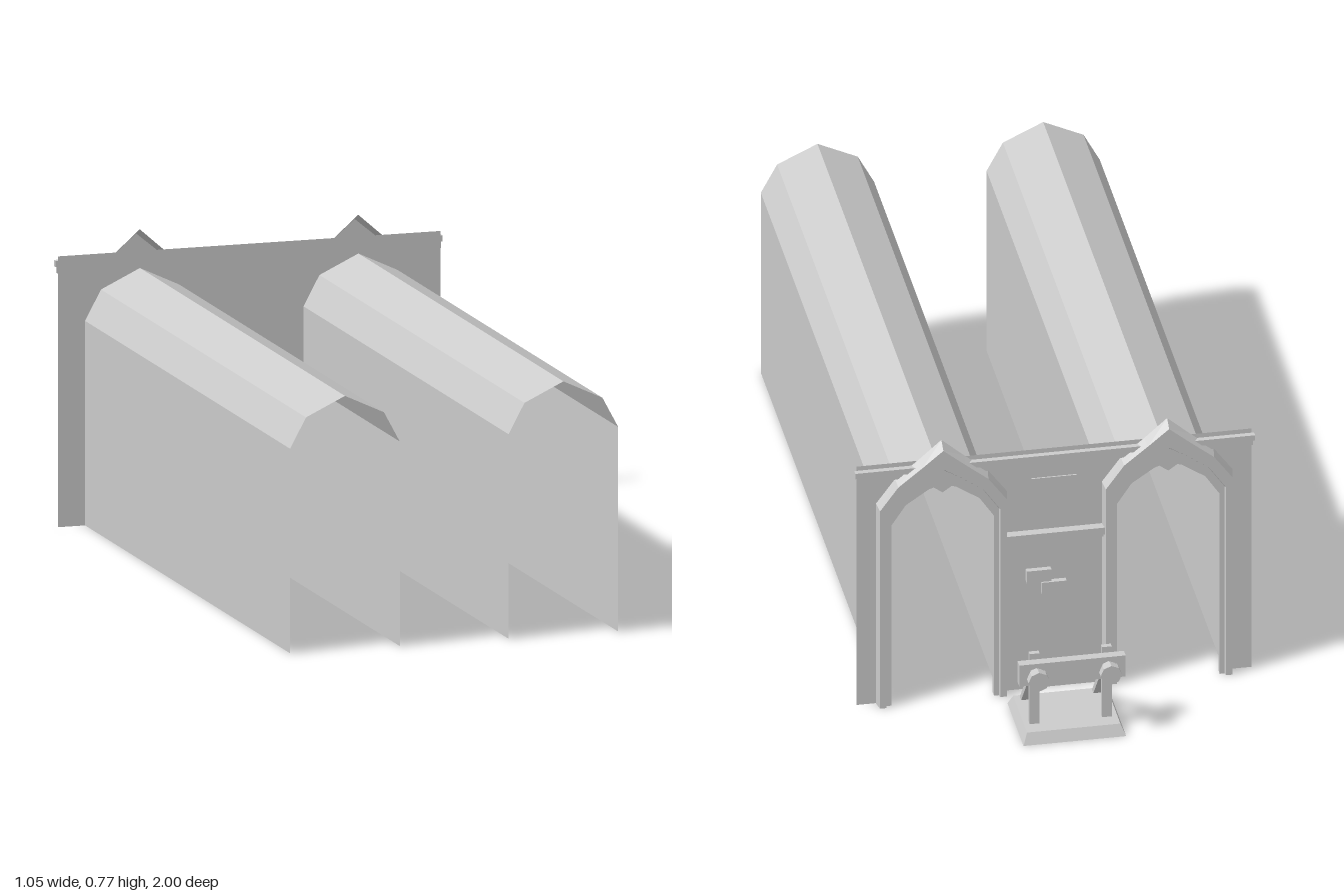
import * as THREE from 'three';

const mat = new THREE.MeshStandardMaterial({ color: 0xcccccc, flatShading: true, side: THREE.DoubleSide });
const WALL_Z = -0.708;
const CENTRES = [-0.297, 0.297];

// Half profiles, from the foot up to the crown
const tunnelHalf = [[0.149, 0], [0.149, 0.54], [0.106, 0.62], [0, 0.67]];
const ringOuter = [[0.172, 0], [0.172, 0.6], [0.122, 0.668], [0.06, 0.719], [0, 0.772]];
const ringInner = [[0.135, 0], [0.135, 0.54], [0.097, 0.597], [0.036, 0.638], [0, 0.65]];

const mirror = (half) => [...half, ...half.slice(0, -1).reverse().map(([x, y]) => [-x, y])];
const blend = (a, b, t) => a.map(([x, y], i) => [x + (b[i][0] - x) * t, y + (b[i][1] - y) * t]);

function add(parent, name, geometry, x = 0, y = 0, z = 0) {
  const mesh = new THREE.Mesh(geometry, mat);
  mesh.name = name;
  mesh.position.set(x, y, z);
  parent.add(mesh);
  return mesh;
}

// Box given by its limits
function block(parent, name, x0, x1, y0, y1, z0, z1) {
  return add(parent, name, new THREE.BoxGeometry(x1 - x0, y1 - y0, z1 - z0),
    (x0 + x1) / 2, (y0 + y1) / 2, (z0 + z1) / 2);
}

// Skin over a row of open cross-sections, each { half, z }
function loft(sections) {
  const pos = [], index = [];
  const n = sections[0].half.length * 2 - 1;
  sections.forEach(({ half, z }) => mirror(half).forEach(([x, y]) => pos.push(x, y, z)));
  for (let s = 0; s < sections.length - 1; s++) {
    for (let i = 0; i < n - 1; i++) {
      const a = s * n + i, b = a + n;
      index.push(a, a + 1, b, a + 1, b + 1, b);
    }
  }
  const g = new THREE.BufferGeometry();
  g.setAttribute('position', new THREE.Float32BufferAttribute(pos, 3));
  g.setIndex(index);
  const flat = g.toNonIndexed();
  flat.computeVertexNormals();
  return flat;
}

// Square bar between two points
function bar(parent, name, from, to, width) {
  const a = new THREE.Vector3(...from), b = new THREE.Vector3(...to);
  const mesh = add(parent, name, new THREE.BoxGeometry(width, width * 0.6, a.distanceTo(b)));
  mesh.position.copy(a).add(b).multiplyScalar(0.5);
  mesh.lookAt(b);
}

function buildPortal() {
  const portal = new THREE.Group();
  portal.name = 'portal';

  // Thin wall whose outline steps around both openings
  const shape = new THREE.Shape();
  shape.moveTo(-0.52, 0.715);
  shape.lineTo(-0.52, 0);
  CENTRES.forEach((c) => mirror(tunnelHalf).reverse().forEach(([x, y]) => shape.lineTo(c + x, y)));
  shape.lineTo(0.52, 0);
  shape.lineTo(0.52, 0.715);
  add(portal, 'portalWall', new THREE.ShapeGeometry(shape), 0, 0, WALL_Z);

  // Stepped arch surrounds with pointed gables
  const ring = loft([
    { half: ringOuter, z: WALL_Z - 0.002 },
    { half: blend(ringOuter, ringInner, 0.14), z: -0.738 },
    { half: blend(ringOuter, ringInner, 0.6), z: -0.738 },
    { half: blend(ringOuter, ringInner, 0.65), z: -0.728 },
    { half: ringInner, z: -0.728 },
    { half: ringInner, z: WALL_Z - 0.002 },
  ]);
  CENTRES.forEach((c) => {
    add(portal, 'archSurround', ring, c);
    const key = new THREE.Shape();
    [[-0.024, 0.642], [0, 0.625], [0.024, 0.642], [0, 0.66]].forEach(([x, y], i) =>
      i ? key.lineTo(x, y) : key.moveTo(x, y));
    add(portal, 'keystone', new THREE.ExtrudeGeometry(key, { depth: 0.016, bevelEnabled: false }), c, 0, -0.728);
  });

  // Cornice, middle ledge and small wall details
  block(portal, 'cornice', -0.526, 0.526, 0.687, 0.703, -0.724, WALL_Z - 0.001);
  block(portal, 'corniceLower', -0.522, 0.522, 0.67, 0.687, -0.717, WALL_Z - 0.001);
  block(portal, 'ledge', -0.13, 0.13, 0.455, 0.475, -0.733, WALL_Z - 0.001);
  block(portal, 'ledgeLower', -0.13, 0.13, 0.442, 0.455, -0.722, WALL_Z - 0.001);
  block(portal, 'wallPanel', -0.06, 0.06, 0.51, 0.63, -0.713, WALL_Z - 0.001);
  block(portal, 'wallBlock', 0.01, 0.075, 0.325, 0.36, -0.724, WALL_Z - 0.001);
  block(portal, 'wallBlock', -0.03, 0.035, 0.287, 0.322, -0.724, WALL_Z - 0.001);
  return portal;
}

function buildBufferStop() {
  const stop = new THREE.Group();
  stop.name = 'bufferStop';

  // Base slab tapered toward the top
  const slab = new THREE.BoxGeometry(0.27, 0.03, 0.222);
  const p = slab.attributes.position;
  for (let i = 0; i < p.count; i++) {
    if (p.getY(i) > 0) p.setXYZ(i, p.getX(i) * 0.91, p.getY(i), p.getZ(i) * 0.86);
  }
  add(stop, 'baseSlab', slab, 0, 0.015, -0.883);

  block(stop, 'beam', -0.14, 0.14, 0.16, 0.223, -0.962, -0.938);
  const disc = new THREE.CylinderGeometry(0.028, 0.028, 0.022, 8).rotateX(Math.PI / 2);
  const stem = new THREE.CylinderGeometry(0.021, 0.021, 0.02, 8).rotateX(Math.PI / 2);
  [-0.095, 0.095].forEach((x) => {
    block(stop, 'post', x - 0.013, x + 0.013, 0.025, 0.24, -0.938, -0.924);
    bar(stop, 'brace', [x, 0.025, -0.8], [x, 0.175, -0.928], 0.024);
    add(stop, 'bufferStem', stem, x, 0.19, -0.97);
    add(stop, 'bufferHead', disc, x, 0.19, -0.989);
  });
  return stop;
}

export function createModel() {
  const model = new THREE.Group();
  model.name = 'tunnelEntrance';

  // Twin tunnel tubes, open at both ends
  const tube = loft([{ half: tunnelHalf, z: 1 }, { half: tunnelHalf, z: WALL_Z }]);
  CENTRES.forEach((c) => add(model, 'tunnel', tube, c));

  model.add(buildPortal(), buildBufferStop());
  return model;
}
